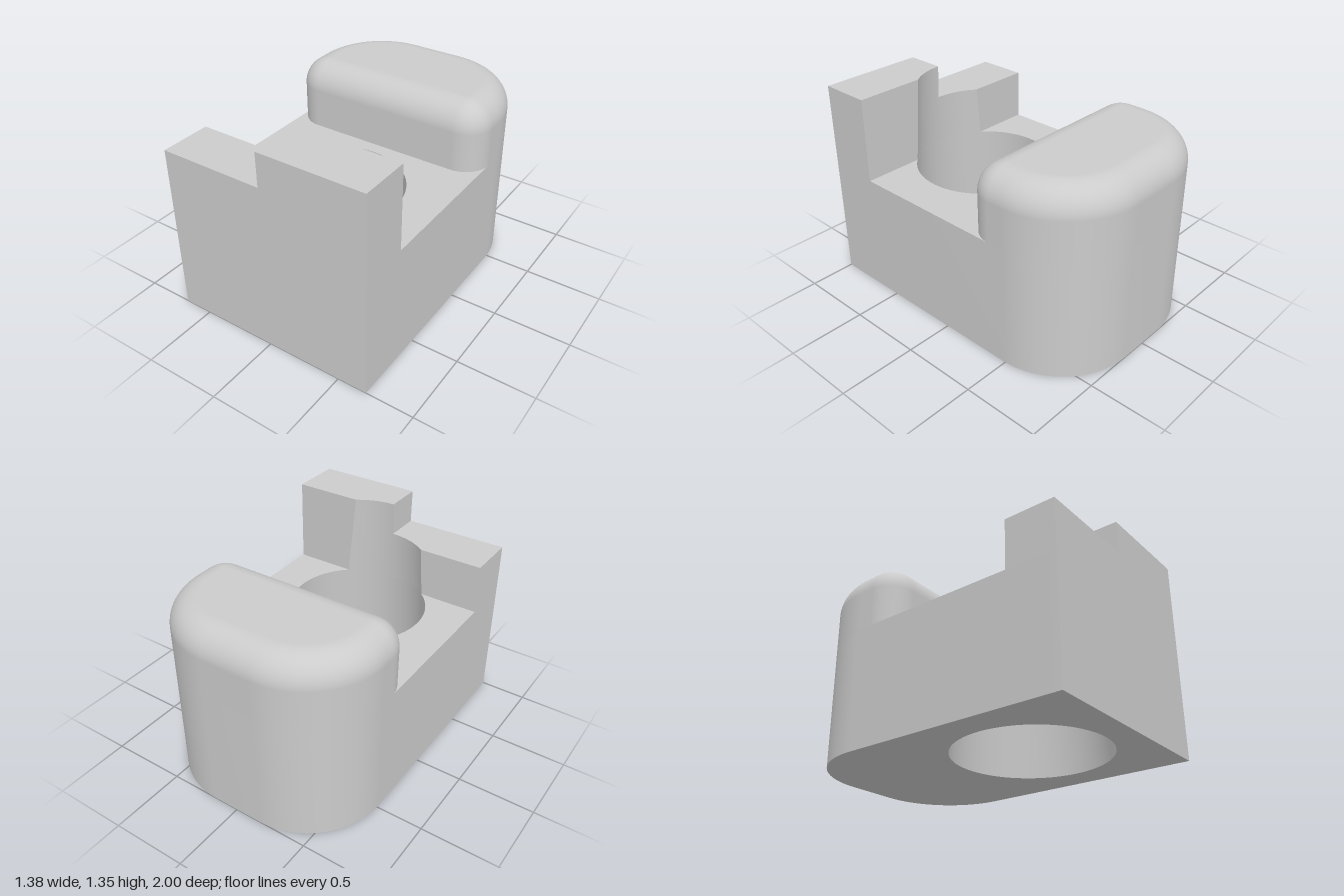
import * as THREE from 'three';
import { toCreasedNormals } from 'three/addons/utils/BufferGeometryUtils.js';

const HALF = 0.692;         // half width of the body
const DECK = 0.798;         // height of the deck
const WALL_Z = 0.666;       // inner face of the front wall
const HOLE_Z = 0.332;       // axis of the tapered bore
const REAR_R = 0.52;        // rear corner radius
const REAR_X = HALF - REAR_R, REAR_Z = REAR_R - 1;
const boreRadius = (y) => 0.491 - 0.057 * y;
const boreAngle = (y) => Math.acos((WALL_Z - HOLE_Z) / boreRadius(y));

// Extrude a plan outline of [x, z] points upward from y0 to y1.
function extrudePlan(points, y0, y1, hole) {
  const shape = new THREE.Shape(points.map(([x, z]) => new THREE.Vector2(x, -z)));
  if (hole) shape.holes.push(new THREE.Path(hole.map(([x, z]) => new THREE.Vector2(x, -z))));
  const geo = new THREE.ExtrudeGeometry(shape, { depth: y1 - y0, bevelEnabled: false });
  return geo.rotateX(-Math.PI / 2).translate(0, y0, 0);
}

// Taper the vertices lying on the bore; optionally keep arc ends on the wall face.
function taperBore(geo, wallBase) {
  const p = geo.attributes.position;
  for (let i = 0; i < p.count; i++) {
    const x = p.getX(i), y = p.getY(i), z = p.getZ(i) - HOLE_Z;
    if (Math.hypot(x, z) > 0.5) continue;
    let a = Math.atan2(x, z);
    if (wallBase !== undefined) a *= boreAngle(y) / boreAngle(wallBase);
    p.setX(i, boreRadius(y) * Math.sin(a));
    p.setZ(i, HOLE_Z + boreRadius(y) * Math.cos(a));
  }
  return toCreasedNormals(geo, 0.5);
}

function arc(cx, cz, r, from, to, steps) {
  return Array.from({ length: steps + 1 }, (_, i) => {
    const a = from + (to - from) * i / steps;
    return [cx + r * Math.cos(a), cz + r * Math.sin(a)];
  });
}

// Rear block: rounded plan with a quarter-round top edge, lofted ring by ring.
function rearBlockGeometry() {
  const f = 0.18, top = 1.24, steps = 24, bands = 14;
  const corners = [
    [HALF - f, -0.2 - f, f], [f - HALF, -0.2 - f, f],
    [-REAR_X, REAR_Z, REAR_R], [REAR_X, REAR_Z, REAR_R],
  ];
  const pos = [], nor = [], idx = [];
  const count = corners.length * (steps + 1);
  for (let j = -1; j <= bands; j++) {
    const phi = Math.max(j, 0) / bands * Math.PI / 2;
    const c = Math.cos(phi), s = Math.sin(phi);
    corners.forEach(([cx, cz, r], k) => {
      for (let i = 0; i <= steps; i++) {
        const a = (k + i / steps) * Math.PI / 2, R = r - f + f * c;
        pos.push(cx + R * Math.cos(a), j < 0 ? DECK : top - f + f * s, cz + R * Math.sin(a));
        nor.push(c * Math.cos(a), s, c * Math.sin(a));
      }
    });
  }
  const rings = bands + 2;
  for (let j = 0; j < rings - 1; j++) {
    for (let i = 0; i < count; i++) {
      const p = j * count + i, n = j * count + (i + 1) % count;
      idx.push(p, p + count, n, n, p + count, n + count);
    }
  }
  // flat top
  const centre = pos.length / 3, last = (rings - 1) * count;
  pos.push(0, top, -0.6);
  nor.push(0, 1, 0);
  for (let i = 0; i < count; i++) idx.push(centre, last + (i + 1) % count, last + i);
  const geo = new THREE.BufferGeometry();
  geo.setAttribute('position', new THREE.Float32BufferAttribute(pos, 3));
  geo.setAttribute('normal', new THREE.Float32BufferAttribute(nor, 3));
  geo.setIndex(idx);
  return geo;
}

// Half of the front wall with its share of the bore; side is +1 or -1.
function wallGeometry(side, height) {
  const span = boreAngle(DECK), r = boreRadius(DECK);
  const notch = arc(0, HOLE_Z, r, Math.PI / 2, Math.PI / 2 - side * span, 20);
  const outline = [[0, 1], ...notch, [side * HALF, WALL_Z], [side * HALF, 1]];
  return taperBore(extrudePlan(outline, DECK, height), DECK);
}

export function createModel() {
  const model = new THREE.Group();
  model.name = 'bracketBlock';
  const grey = new THREE.MeshStandardMaterial({ color: 0xcbcbcb });
  grey.name = 'light grey';
  const add = (name, geo) => {
    const mesh = new THREE.Mesh(geo, grey);
    mesh.name = name;
    model.add(mesh);
  };

  // base slab with rounded rear corners and a tapered through bore
  const outline = [
    [HALF, 1], [-HALF, 1],
    ...arc(-REAR_X, REAR_Z, REAR_R, Math.PI, Math.PI * 1.5, 24),
    ...arc(REAR_X, REAR_Z, REAR_R, Math.PI * 1.5, Math.PI * 2, 24),
  ];
  // the bore runs opposite to the outline so that its wall faces inward
  const bore = arc(0, HOLE_Z, boreRadius(0), Math.PI * 2, 0, 72).slice(0, -1);
  add('base', taperBore(extrudePlan(outline, 0, DECK, bore)));

  add('rearBlock', rearBlockGeometry());
  add('frontWallLeft', wallGeometry(1, 1.35));
  add('frontWallRight', wallGeometry(-1, 1.128));
  return model;
}
